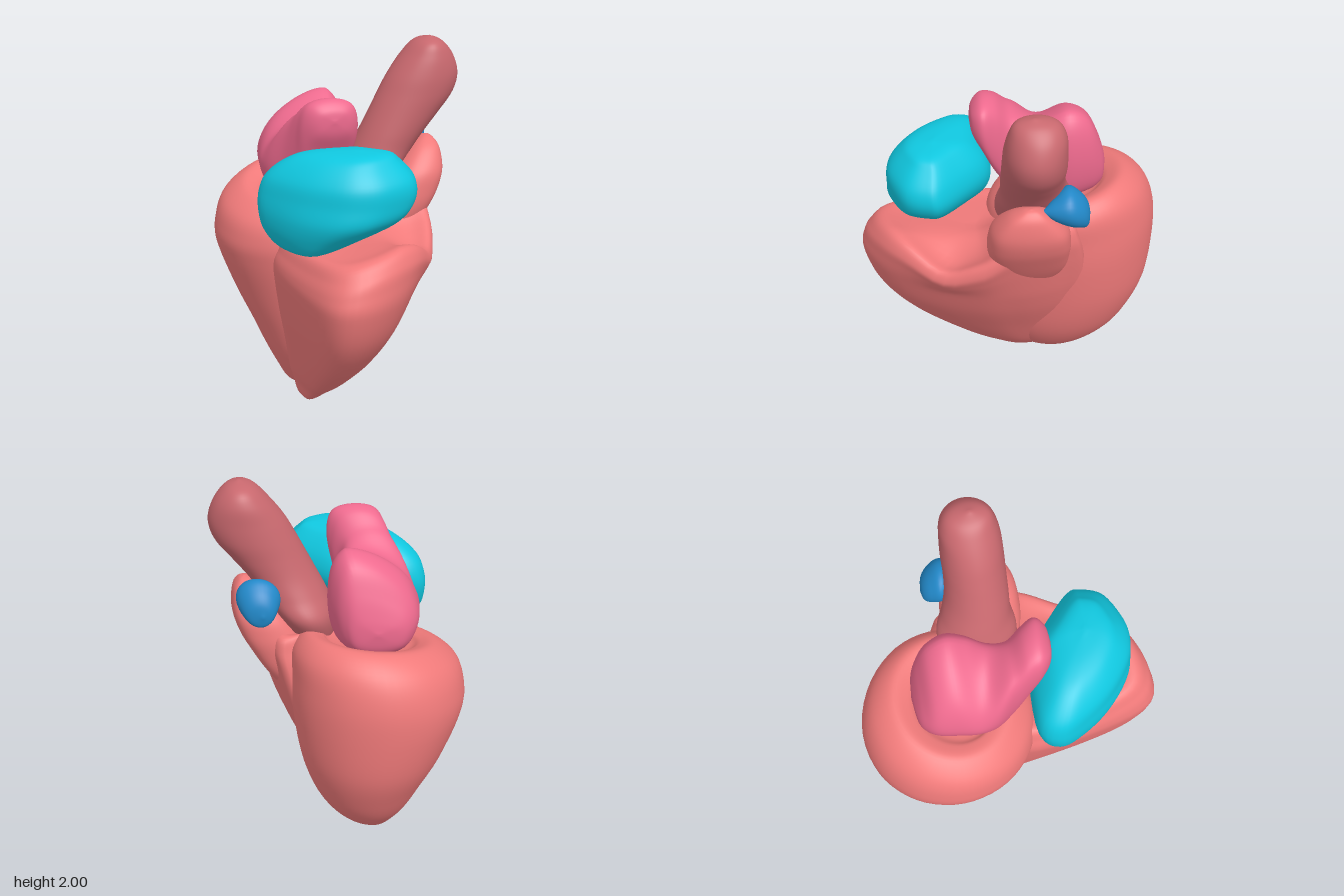
import * as THREE from 'three';
import { mergeVertices } from 'three/addons/utils/BufferGeometryUtils.js';

const RED = 0xf07a7a, DARK_RED = 0xc8686e, PINK = 0xee6a8e, TEAL = 0x10c8e0, BLUE = 0x2288c8;
const { smoothstep } = THREE.MathUtils;

const ROUND = Array.from({ length: 12 }, (_, i) => {
  const a = (i / 12) * Math.PI * 2;
  return [Math.cos(a), Math.sin(a)];
});
const SQUARISH = ROUND.map(([a, b]) =>
  [Math.sign(a) * Math.abs(a) ** 0.75, Math.sign(b) * Math.abs(b) ** 0.75]);

// Smooth closed body. Rows are [s, a0, a1, b0, b1]: the position along the axis
// and the bounds of the cross-section there. The outline lies within -1..1.
function loft(rows, { axis = 'y', outline = ROUND, warp = null, sides = 56, steps = 6 } = {}) {
  const ring = new THREE.CatmullRomCurve3(
    outline.map(([a, b]) => new THREE.Vector3(a, 0, b)), true, 'catmullrom');
  const low = new THREE.CatmullRomCurve3(
    rows.map(([s, a0, , b0]) => new THREE.Vector3(a0, s, b0)), false, 'catmullrom');
  const high = new THREE.CatmullRomCurve3(
    rows.map(([s, , a1, , b1]) => new THREE.Vector3(a1, s, b1)), false, 'catmullrom');
  const count = (rows.length - 1) * steps;
  const positions = [], index = [];
  for (let j = 0; j <= count; j++) {
    const lo = low.getPoint(j / count), hi = high.getPoint(j / count);
    for (let i = 0; i < sides; i++) {
      const u = ring.getPoint(i / sides);
      const a = (lo.x + hi.x) / 2 + u.x * (hi.x - lo.x) / 2;
      const b = (lo.z + hi.z) / 2 + u.z * (hi.z - lo.z) / 2;
      const p = axis === 'y' ? new THREE.Vector3(a, lo.y, b) : new THREE.Vector3(a, b, lo.y);
      if (warp) warp(p);
      positions.push(p.x, p.y, p.z);
      if (j === count) continue;
      const c = j * sides + i, n = j * sides + (i + 1) % sides;
      const cUp = c + sides, nUp = n + sides;
      if (axis === 'y') index.push(c, cUp, n, n, cUp, nUp);
      else index.push(c, n, cUp, n, nUp, cUp);
    }
  }
  let geometry = new THREE.BufferGeometry();
  geometry.setAttribute('position', new THREE.Float32BufferAttribute(positions, 3));
  geometry.setIndex(index);
  geometry = mergeVertices(geometry, 1e-4);
  geometry.computeVertexNormals();
  return geometry;
}

export function createModel() {
  const group = new THREE.Group();
  const add = (name, color, rows, options) => {
    const mesh = new THREE.Mesh(loft(rows, options), new THREE.MeshStandardMaterial({ color }));
    mesh.name = name;
    group.add(mesh);
  };

  // Back chamber: a tapered cup whose rim is higher at the back
  add('leftVentricle', RED, [
    [0.02, -0.2, -0.2, -0.25, -0.25],
    [0.04, -0.28, -0.12, -0.36, -0.12],
    [0.12, -0.33, 0.0, -0.47, -0.03],
    [0.25, -0.395, 0.1, -0.6, 0.05],
    [0.4, -0.46, 0.17, -0.69, 0.09],
    [0.6, -0.55, 0.22, -0.77, 0.11],
    [0.85, -0.64, 0.25, -0.8, 0.13],
    [1.0, -0.64, 0.25, -0.79, 0.13],
    [1.12, -0.6, 0.24, -0.73, 0.1],
    [1.2, -0.5, 0.17, -0.62, 0.02],
    [1.19, -0.42, 0.09, -0.53, -0.06],
    [1.15, -0.36, 0.03, -0.46, -0.1],
    [1.13, -0.2, -0.2, -0.3, -0.3],
  ], {
    warp: p => {
      const w = Math.max(0, p.y - 0.85) / 0.35;
      p.y += w * (0.12 * (p.x + 0.2) - 0.2 * (p.z + 0.3));
    },
  });

  // Front chamber: wedge that wraps round and blends into the back chamber's left side
  const wedge = [[0.97, 0], [0.74, 0.43], [0.37, 0.8], [-0.16, 1], [-0.6, 0.95], [-0.84, 0.55],
    [-1, -0.15], [-0.82, -0.4], [0.1, -0.8], [0.63, -1], [0.82, -0.8], [0.95, -0.56], [1, -0.31]];
  add('rightVentricle', RED, [
    [0, -0.2, -0.2, 0, 0],
    [0.02, -0.26, -0.14, -0.12, 0.06],
    [0.1, -0.28, -0.05, -0.25, 0.17],
    [0.2, -0.31, 0.03, -0.32, 0.32],
    [0.4, -0.35, 0.14, -0.37, 0.57],
    [0.6, -0.39, 0.25, -0.39, 0.73],
    [0.8, -0.42, 0.34, -0.38, 0.8],
    [0.92, -0.42, 0.4, -0.36, 0.79],
    [1.0, -0.4, 0.43, -0.33, 0.76],
    [1.07, -0.36, 0.4, -0.29, 0.69],
    [1.05, -0.25, 0.28, -0.18, 0.54],
    [1.02, 0, 0, 0.2, 0.2],
  ], {
    outline: wedge,
    // Rim: notched beside the spout, low on the right, rising towards the back
    warp: p => {
      const w = smoothstep(p.y, 0.75, 1.05);
      const d = ((p.x - 0.3) ** 2 + (p.z - 0.36) ** 2) / 0.03;
      p.y += w * (0.2 * Math.min(0.1, p.x) - 0.12 * Math.exp(-d)
        + 0.12 * smoothstep(-p.z, -0.2, 0.05) * smoothstep(p.x, -0.1, 0.15));
    },
  });

  // Spout rising from the front chamber
  add('outflowSpout', RED, [
    [0.7, 0.1, 0.1, 0, 0],
    [0.8, -0.02, 0.26, -0.2, 0.1],
    [0.95, 0.05, 0.375, -0.27, 0.12],
    [1.1, 0.14, 0.465, -0.28, 0.15],
    [1.2, 0.19, 0.515, -0.275, 0.15],
    [1.3, 0.26, 0.54, -0.25, 0.13],
    [1.4, 0.36, 0.53, -0.17, 0.06],
    [1.45, 0.43, 0.5, -0.11, -0.01],
    [1.465, 0.47, 0.47, -0.06, -0.06],
  ], { outline: SQUARISH });

  // Great artery leaning out to the left
  add('aorta', DARK_RED, [
    [1.08, 0.11, 0.11, -0.1, -0.1],
    [1.12, 0.03, 0.2, -0.22, 0.02],
    [1.2, 0.0, 0.26, -0.28, 0.09],
    [1.3, 0.01, 0.32, -0.32, 0.1],
    [1.4, 0.05, 0.39, -0.28, 0.08],
    [1.5, 0.1, 0.46, -0.25, 0.08],
    [1.6, 0.15, 0.54, -0.24, 0.08],
    [1.7, 0.2, 0.615, -0.24, 0.08],
    [1.8, 0.255, 0.64, -0.235, 0.075],
    [1.9, 0.33, 0.61, -0.225, 0.055],
    [1.97, 0.4, 0.55, -0.18, 0.02],
    [2.0, 0.48, 0.48, -0.07, -0.07],
  ]);

  // Right upper chamber: slanted bean
  const bean = [[0.98, 0], [1, 0.26], [0.87, 0.65], [0.52, 0.9], [0.2, 0.98], [-0.15, 0.86],
    [-0.55, 0.44], [-0.85, -0.1], [-1, -0.6], [-0.81, -0.97], [-0.15, -0.97], [0.25, -0.88],
    [0.65, -0.44]];
  add('rightAtrium', TEAL, [
    [1.0, -0.33, -0.33, 0.34, 0.34],
    [1.02, -0.43, -0.2, 0.22, 0.46],
    [1.1, -0.5, -0.02, 0.14, 0.56],
    [1.2, -0.525, 0.16, 0.1, 0.65],
    [1.3, -0.52, 0.235, 0.09, 0.66],
    [1.4, -0.48, 0.225, 0.12, 0.65],
    [1.49, -0.37, 0.15, 0.2, 0.58],
    [1.53, -0.24, 0.09, 0.29, 0.52],
    [1.545, -0.05, -0.05, 0.41, 0.41],
  ], { outline: bean });

  // Left upper chamber: two lobes with a shallow saddle, the back one sloping down to the right
  add('leftAtrium', PINK, [
    [-0.51, -0.17, -0.17, 1.33, 1.33],
    [-0.495, -0.29, -0.06, 1.23, 1.42],
    [-0.46, -0.35, -0.01, 1.18, 1.55],
    [-0.4, -0.39, 0.03, 1.15, 1.68],
    [-0.3, -0.41, 0.06, 1.13, 1.73],
    [-0.2, -0.42, 0.045, 1.13, 1.69],
    [-0.1, -0.4, 0.0, 1.14, 1.63],
    [0, -0.34, -0.03, 1.18, 1.66],
    [0.08, -0.3, 0, 1.3, 1.73],
    [0.15, -0.27, 0.02, 1.46, 1.745],
    [0.2, -0.21, -0.03, 1.56, 1.7],
    [0.215, -0.12, -0.12, 1.64, 1.64],
  ], {
    axis: 'z',
    outline: SQUARISH,
    warp: p => {
      p.y -= 0.5 * Math.max(0, -0.03 - p.x)
        * smoothstep(p.y, 1.2, 1.7) * smoothstep(-p.z, 0, 0.2);
    },
  });

  // Small pointed pouch beside the spout
  add('leftAppendage', BLUE, [
    [-0.365, 0.39, 0.39, 1.37, 1.37],
    [-0.35, 0.34, 0.46, 1.31, 1.44],
    [-0.31, 0.31, 0.5, 1.31, 1.495],
    [-0.25, 0.3, 0.52, 1.33, 1.53],
    [-0.18, 0.38, 0.5, 1.375, 1.49],
    [-0.11, 0.46, 0.46, 1.43, 1.43],
  ], { axis: 'z', sides: 32 });

  return group;
}
